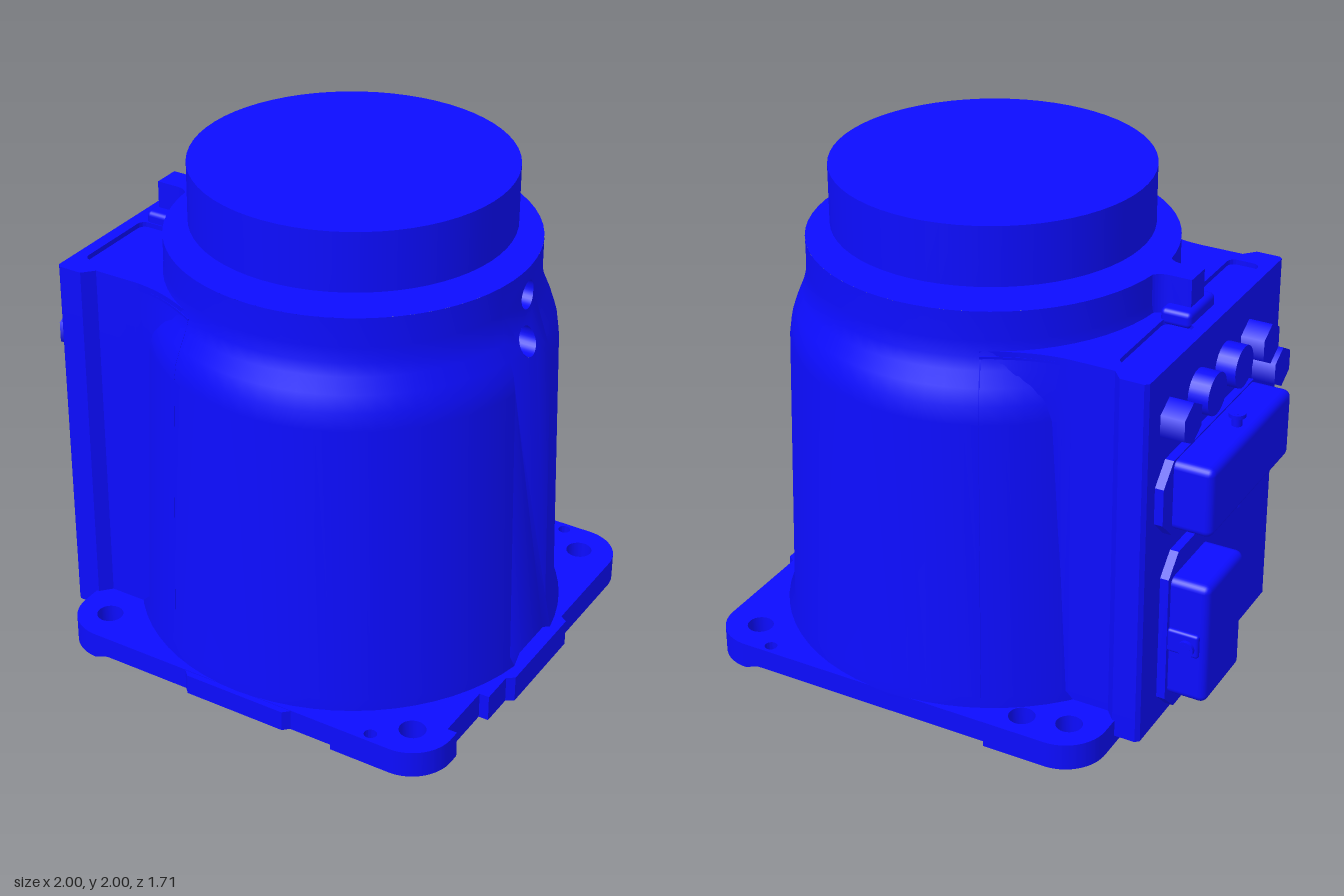
import * as THREE from 'three';
import { toCreasedNormals } from 'three/addons/utils/BufferGeometryUtils.js';
import { RoundedBoxGeometry } from 'three/addons/geometries/RoundedBoxGeometry.js';

const blue = new THREE.MeshStandardMaterial({ color: 0x0c0cff });
const blueDouble = new THREE.MeshStandardMaterial({ color: 0x0c0cff, side: THREE.DoubleSide });
const CX = 0.13, CZ = -0.015; // axis of the round body

// Body radius against height
const PROFILE = [[0.825, 0.03], [0.845, 0.11], [0.822, 0.14], [0.785, 1.3], [0.775, 1.37], [0.755, 1.43],
  [0.73, 1.49], [0.715, 1.54], [0.71, 1.6], [0.71, 1.715]];
function radiusAt(y) {
  const i = Math.max(1, PROFILE.findIndex((p) => p[1] >= y - 1e-6));
  const [r0, y0] = PROFILE[i - 1], [r1, y1] = PROFILE[i];
  return r0 + (r1 - r0) * (y - y0) / (y1 - y0);
}

function add(parent, name, geo, material = blue) {
  const m = new THREE.Mesh(geo, material);
  m.name = name;
  parent.add(m);
  return m;
}
function box(parent, name, [x0, x1], [y0, y1], [z0, z1], r = 0.015) {
  const m = add(parent, name, new RoundedBoxGeometry(x1 - x0, y1 - y0, z1 - z0, 3, r));
  m.position.set((x0 + x1) / 2, (y0 + y1) / 2, (z0 + z1) / 2);
}
// Extrude a plan outline (x, z) between two heights
function slab(shape, y0, y1) {
  const g = new THREE.ExtrudeGeometry(shape, { depth: y1 - y0, bevelEnabled: false, curveSegments: 20 });
  return toCreasedNormals(g.rotateX(Math.PI / 2).translate(0, y1, 0), 0.6);
}
function hole(x, z, r) {
  const p = new THREE.Path();
  p.absarc(x, z, r, 0, Math.PI * 2, true);
  return p;
}
function roundedRect(x0, x1, z0, z1, r, Type = THREE.Shape) {
  const p = new Type();
  p.absarc(x1 - r, z0 + r, r, -Math.PI / 2, 0);
  p.absarc(x1 - r, z1 - r, r, 0, Math.PI / 2);
  p.absarc(x0 + r, z1 - r, r, Math.PI / 2, Math.PI);
  p.absarc(x0 + r, z0 + r, r, Math.PI, Math.PI * 1.5);
  p.closePath();
  return p;
}

const BOLTS = [[-0.57, -0.71, 0.052], [-0.39, -0.75, 0.052], [0.82, -0.71, 0.052], [-0.57, 0.68, 0.052],
  [0.82, 0.68, 0.052], [0.70, -0.815, 0.025], [0.70, 0.785, 0.025]];

function addBase(g) {
  const x0 = -0.71, x1 = 0.97, z0 = -0.855, z1 = 0.825, c = 0.17;
  // Right edge carries a tab and a notch
  const rightEdge = [[x1, -0.25], [1, -0.23], [1, 0.2], [x1, 0.22], [x1, 0.36], [0.93, 0.36], [0.93, 0.61], [x1, 0.61]];
  const rightSide = (s) => {
    s.absarc(x1 - c, z0 + c, c, -Math.PI / 2, 0);
    rightEdge.forEach((p) => s.lineTo(...p));
    s.absarc(x1 - c, z1 - c, c, 0, Math.PI / 2);
  };
  const leftSide = (s) => {
    s.absarc(x0 + c, z1 - c, c, Math.PI / 2, Math.PI);
    s.absarc(x0 + c, z0 + c, c, Math.PI, Math.PI * 1.5);
  };
  const plate = new THREE.Shape();
  rightSide(plate);
  leftSide(plate);
  plate.closePath();
  plate.holes = [hole(CX, CZ, 0.8), ...BOLTS.map((b) => hole(...b))];
  add(g, 'basePlate', slab(plate, 0.022, 0.11));

  // Low feet under both sides, leaving the middle of front and back raised
  const R = 0.8, aR = Math.acos(0.42 / R), aL = Math.acos(-0.41 / R);
  const right = new THREE.Shape().moveTo(0.55, z0);
  rightSide(right);
  right.lineTo(0.55, z1);
  right.absarc(CX, CZ, R, aR, -aR, true);
  right.closePath();
  const left = new THREE.Shape().moveTo(-0.28, z1);
  leftSide(left);
  left.lineTo(-0.28, z0);
  left.absarc(CX, CZ, R, -aL, aL - 2 * Math.PI, true);
  left.closePath();
  for (const [name, s, test] of [['rightFoot', right, (b) => b[0] > 0], ['leftFoot', left, (b) => b[0] < 0]]) {
    s.holes = BOLTS.filter(test).map((b) => hole(...b));
    add(g, name, slab(s, 0, 0.022));
  }
  const tab = new THREE.Shape([[-0.11, 0.82], [0.38, 0.82], [0.35, 0.85], [-0.08, 0.85]].map((p) => new THREE.Vector2(...p)));
  add(g, 'frontTab', slab(tab, 0.024, 0.108));
}

function addBody(g) {
  const body = new THREE.Group();
  body.name = 'body';
  body.position.set(CX, 0, CZ);
  g.add(body);
  const gap = 0.18; // narrow sector that holds the two ports
  add(body, 'bodyShell', new THREE.LatheGeometry(PROFILE.map((p) => new THREE.Vector2(...p)), 64,
    Math.PI / 2 + gap, Math.PI * 2 - 2 * gap));
  const disc = (name, r, y, down) => add(body, name,
    new THREE.CircleGeometry(r, 64).rotateX(down ? Math.PI / 2 : -Math.PI / 2).translate(0, y, 0));
  disc('bodyFloor', 0.83, 0.03, true);
  disc('bodyTop', 0.71, 1.715, false);
  add(body, 'neck', new THREE.CylinderGeometry(0.48, 0.48, 0.07, 64).translate(0, 1.74, 0));
  add(body, 'topFlange', new THREE.CylinderGeometry(0.615, 0.615, 0.235, 64).translate(0, 1.8825, 0));

  // Port sector, drawn in angle and height and wrapped on the profile
  const ports = [[-0.055, 1.605], [0.005, 1.45]], pr = 0.055;
  const outline = [...PROFILE.map((p) => [gap, p[1]]), ...PROFILE.map((p) => [-gap, p[1]]).reverse()];
  const sector = new THREE.Shape(outline.map((p) => new THREE.Vector2(...p)));
  sector.holes = ports.map(([z, y]) => {
    const r = radiusAt(y);
    return new THREE.Path().absellipse(Math.asin(-z / r), y, pr / r, pr, 0, Math.PI * 2, true);
  });
  const skin = new THREE.ShapeGeometry(sector, 16), p = skin.attributes.position, n = skin.attributes.normal;
  for (let i = 0; i < p.count; i++) {
    const a = p.getX(i), y = p.getY(i), r = radiusAt(y);
    const slope = (radiusAt(Math.min(y + 0.02, 1.715)) - radiusAt(Math.max(y - 0.02, 0.03))) / 0.04;
    const v = new THREE.Vector3(Math.cos(a), -slope, -Math.sin(a)).normalize();
    p.setXYZ(i, r * Math.cos(a), y, -r * Math.sin(a));
    n.setXYZ(i, v.x, v.y, v.z);
  }
  add(body, 'portSector', skin);
  for (const [z, y] of ports) {
    const wall = new THREE.CylinderGeometry(pr, pr, 0.1, 32, 1, true).rotateZ(-Math.PI / 2).translate(0, y, z);
    const w = wall.attributes.position;
    for (let i = 0; i < w.count; i++) {
      const r = radiusAt(w.getY(i));
      w.setX(i, w.getX(i) > 0 ? Math.sqrt(r * r - w.getZ(i) ** 2) : 0.6);
    }
    add(body, 'portWall', wall, blueDouble);
    add(body, 'portEnd', new THREE.CircleGeometry(pr, 32).rotateY(Math.PI / 2).translate(0.6, y, z));
  }
}

// Plan outline of the side housing, blending into the body at height y
function housingOutline(y) {
  const r = radiusAt(y), a = THREE.MathUtils.degToRad(115);
  const fillet = new THREE.QuadraticBezierCurve(new THREE.Vector2(-0.62, 0.55), new THREE.Vector2(-0.48, 0.55),
    new THREE.Vector2(Math.cos(a) * r, Math.sin(a) * r)).getPoints(8);
  const half = [[-0.94, 0.58], [-0.925, 0.595], [-0.83, 0.595], [-0.79, 0.55]].map((q) => new THREE.Vector2(...q)).concat(fillet);
  const full = half.concat(half.map((q) => new THREE.Vector2(q.x, -q.y)).reverse());
  return full.map((q) => new THREE.Vector2(q.x + CX, q.y + CZ));
}

function addHousing(g) {
  const levels = [0.04, 0.14, 1.3, 1.37, 1.43, 1.49, 1.53];
  const rings = levels.map(housingOutline), n = rings[0].length, pos = [], idx = [];
  rings.forEach((ring, j) => ring.forEach((q) => pos.push(q.x, levels[j], q.y)));
  for (let j = 0; j < levels.length - 1; j++) for (let i = 0; i < n; i++) {
    const a = j * n + i, b = j * n + (i + 1) % n;
    idx.push(a, b, b + n, a, b + n, a + n);
  }
  const side = new THREE.BufferGeometry();
  side.setAttribute('position', new THREE.Float32BufferAttribute(pos, 3));
  side.setIndex(idx);
  add(g, 'housingSides', toCreasedNormals(side, 0.5));
  add(g, 'housingFloor', slab(new THREE.Shape(rings[0]), 0.04, 0.05));
  add(g, 'housingDeck', slab(new THREE.Shape(rings[6]), 1.52, 1.54));
  // Lid with two shallow pockets
  const lid = new THREE.Shape(housingOutline(1.56));
  lid.holes = [[-0.5, -0.11], [0.1, 0.475]].map(([a, b]) => roundedRect(-0.76, -0.635, a, b, 0.03, THREE.Path));
  add(g, 'housingLid', slab(lid, 1.53, 1.56));

  // Arm joining the lid to the body top
  const arm = new THREE.Shape().moveTo(-0.72, -0.07).lineTo(-0.63, -0.07);
  arm.quadraticCurveTo(-0.57, -0.07, -0.55, -0.15).lineTo(-0.4, -0.15).lineTo(-0.4, 0.12).lineTo(-0.55, 0.12);
  arm.quadraticCurveTo(-0.57, 0.04, -0.63, 0.04).lineTo(-0.72, 0.04).closePath();
  add(g, 'lidArm', slab(arm, 1.54, 1.715));
  box(g, 'lidArmFoot', [-0.745, -0.62], [1.54, 1.605], [-0.125, 0.095], 0.02);
}

// Chamfered plate standing on the connector face
function sidePlate(g, name, [y0, y1], [z0, z1], thick, c) {
  const s = new THREE.Shape([[z0 + c, y0], [z1 - c, y0], [z1, y0 + c], [z1, y1 - c], [z1 - c, y1], [z0 + c, y1],
    [z0, y1 - c], [z0, y0 + c]].map((p) => new THREE.Vector2(...p)));
  const geo = new THREE.ExtrudeGeometry(s, { depth: thick + 0.01, bevelEnabled: false });
  add(g, name, geo.rotateY(-Math.PI / 2).scale(1, 1, 1).translate(-0.80, 0, 0));
}

function addConnectors(g) {
  sidePlate(g, 'upperConnectorFlange', [0.88, 1.19], [-0.53, 0.34], 0.035, 0.08);
  box(g, 'upperConnector', [-1, -0.82], [0.9, 1.185], [-0.45, 0.27], 0.03);
  sidePlate(g, 'lowerConnectorFlange', [0.08, 0.77], [-0.46, -0.08], 0.035, 0.08);
  box(g, 'lowerConnector', [-1, -0.82], [0.17, 0.685], [-0.44, -0.12], 0.03);
  sidePlate(g, 'coverPlate', [0.17, 0.73], [-0.04, 0.45], 0.015, 0.02);
  // Latch pins through both connectors
  const pin = (name, len, y, z, vertical) => {
    const parts = [[0.02, len], [0.033, 0.015, len / 2 - 0.008], [0.033, 0.015, 0.008 - len / 2]];
    for (const [r, l, off = 0] of parts) {
      const geo = new THREE.CylinderGeometry(r, r, l, 20).translate(0, off, 0);
      if (!vertical) geo.rotateX(Math.PI / 2);
      add(g, name, geo.translate(-0.93, y, z));
    }
  };
  pin('upperLatchPin', 0.39, 1.043, -0.09, true);
  pin('lowerLatchPin', 0.41, 0.425, -0.28, false);
  box(g, 'lowerLatch', [-0.97, -0.84], [0.375, 0.475], [-0.455, -0.105], 0.012);

  // Cable plugs: hexagonal outside, round between
  const plugs = [[-0.43, 1.35, 6, 0.905], [-0.19, 1.35, 24, 0.89], [0.05, 1.35, 24, 0.89], [0.27, 1.35, 6, 0.905], [0.395, 1.195, 6, 0.905]];
  for (const [z, y, sides, reach] of plugs) {
    const len = reach - 0.8;
    const plug = add(g, 'cablePlug', new THREE.CylinderGeometry(0.083, 0.083, len, sides).rotateZ(Math.PI / 2));
    plug.rotation.x = sides === 6 ? Math.PI / 6 : 0;
    plug.position.set(-0.8 - len / 2, y, z);
  }
}

export function createModel() {
  const g = new THREE.Group();
  g.name = 'machineBase';
  addBase(g);
  addBody(g);
  addHousing(g);
  addConnectors(g);
  return g;
}
